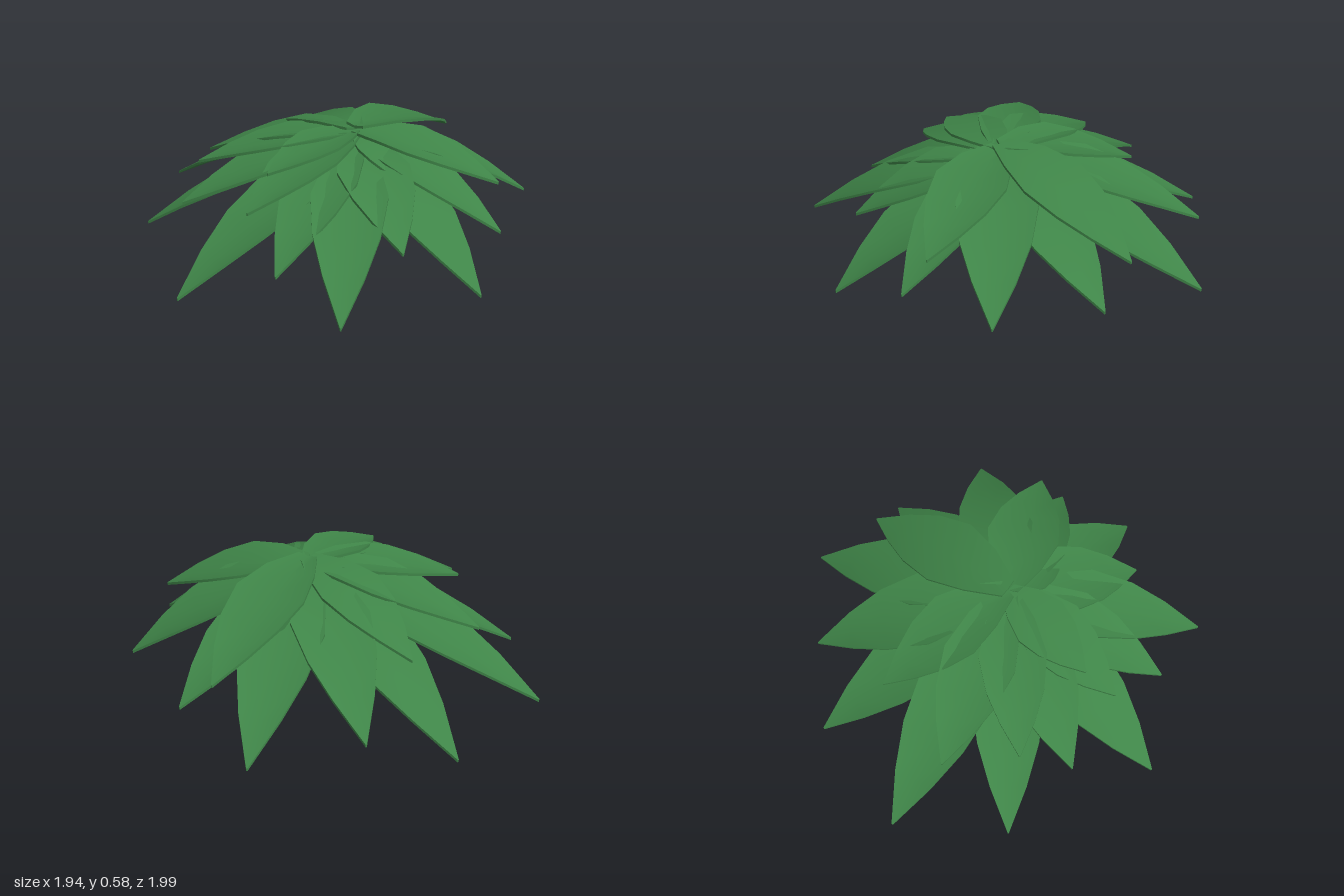
import * as THREE from 'three';
import { toCreasedNormals } from 'three/addons/utils/BufferGeometryUtils.js';

const CROWN = new THREE.Vector2(0.1, -0.01); // x, z where the leaves meet

// Stations along a leaf: fraction of length, half width
const OUTLINE = [[0, 0.05], [0.2, 0.13], [0.42, 0.178], [0.63, 0.15], [0.81, 0.09], [1, 0.003]];

// Leaf tips: x, y, z, height of the base, width factor
const LOWER = [
  [-0.97, 0.01, -0.03, 0.44, 1], [-0.67, 0.01, 0.70, 0.43, 1.05],
  [-0.43, 0.04, -0.96, 0.45, 1.05], [-0.92, 0.04, -0.60, 0.46, 1.1],
  [0.07, 0.07, 0.99, 0.46, 1], [0.68, 0.04, 0.66, 0.44, 1],
  [0.48, 0.14, -1.0, 0.48, 1.05], [0.75, 0.17, -0.59, 0.46, 1],
];
const MIDDLE = [
  [0.97, 0.19, -0.14, 0.53, 1.05], [-0.02, 0.19, -0.98, 0.52, 1.05],
  [0.80, 0.17, 0.30, 0.49, 0.95], [-0.22, 0.17, 0.76, 0.49, 0.95],
  [0.33, 0.24, 0.66, 0.50, 1], [-0.71, 0.28, 0.28, 0.51, 1],
];
const UPPER = [
  [0.79, 0.37, 0.18, 0.55, 1], [-0.68, 0.30, -0.34, 0.54, 1],
  [-0.67, 0.39, 0.03, 0.54, 0.9], [0.60, 0.34, -0.68, 0.57, 1],
  [-0.37, 0.34, 0.50, 0.53, 0.95], [-0.29, 0.47, 0.35, 0.55, 0.8],
  [-0.29, 0.34, -0.62, 0.56, 0.95], [0.33, 0.40, 0.27, 0.54, 0.55],
];

// Thin closed blade along +z, arching downwards, with its sides raised into a shallow trough
function leafGeometry(length, drop, width) {
  const half = 0.007;
  const rings = OUTLINE.map(([t, w]) => {
    const y = -drop * t ** 1.6;
    const x = w * width, edge = y + x * 0.2, z = t * length;
    return [
      [x, edge + half, z], [0, y + half, z], [-x, edge + half, z],
      [-x, edge - half, z], [0, y - half, z], [x, edge - half, z],
    ];
  });
  const pos = [];
  const tri = (a, b, c) => pos.push(...a, ...b, ...c);
  for (let k = 0; k < rings.length - 1; k++) {
    const a = rings[k], b = rings[k + 1];
    for (let i = 0; i < 6; i++) {
      const j = (i + 1) % 6;
      tri(a[i], a[j], b[j]);
      tri(a[i], b[j], b[i]);
    }
  }
  // End caps, fanned from the midrib
  const base = rings[0], tip = rings[rings.length - 1];
  for (let i = 2; i < 6; i++) {
    const j = (i + 1) % 6;
    tri(base[1], base[j], base[i]);
    tri(tip[1], tip[i], tip[j]);
  }
  const geometry = new THREE.BufferGeometry();
  geometry.setAttribute('position', new THREE.Float32BufferAttribute(pos, 3));
  return toCreasedNormals(geometry, 0.7);
}

export function createModel() {
  const model = new THREE.Group();
  model.name = 'leafRosette';
  const green = new THREE.MeshStandardMaterial({ color: 0x3f8548 });

  // Three whorls of leaves, each leaf turned from the crown towards its tip
  const whorls = { lowerLeaves: LOWER, middleLeaves: MIDDLE, upperLeaves: UPPER };
  for (const [name, tips] of Object.entries(whorls)) {
    const whorl = new THREE.Group();
    whorl.name = name;
    for (const [x, y, z, baseY, width] of tips) {
      const dx = x - CROWN.x, dz = z - CROWN.y;
      const leaf = new THREE.Mesh(leafGeometry(Math.hypot(dx, dz), baseY - y, width), green);
      leaf.name = 'leaf';
      leaf.position.set(CROWN.x, baseY, CROWN.y);
      leaf.rotation.y = Math.atan2(dx, dz);
      whorl.add(leaf);
    }
    model.add(whorl);
  }
  return model;
}
